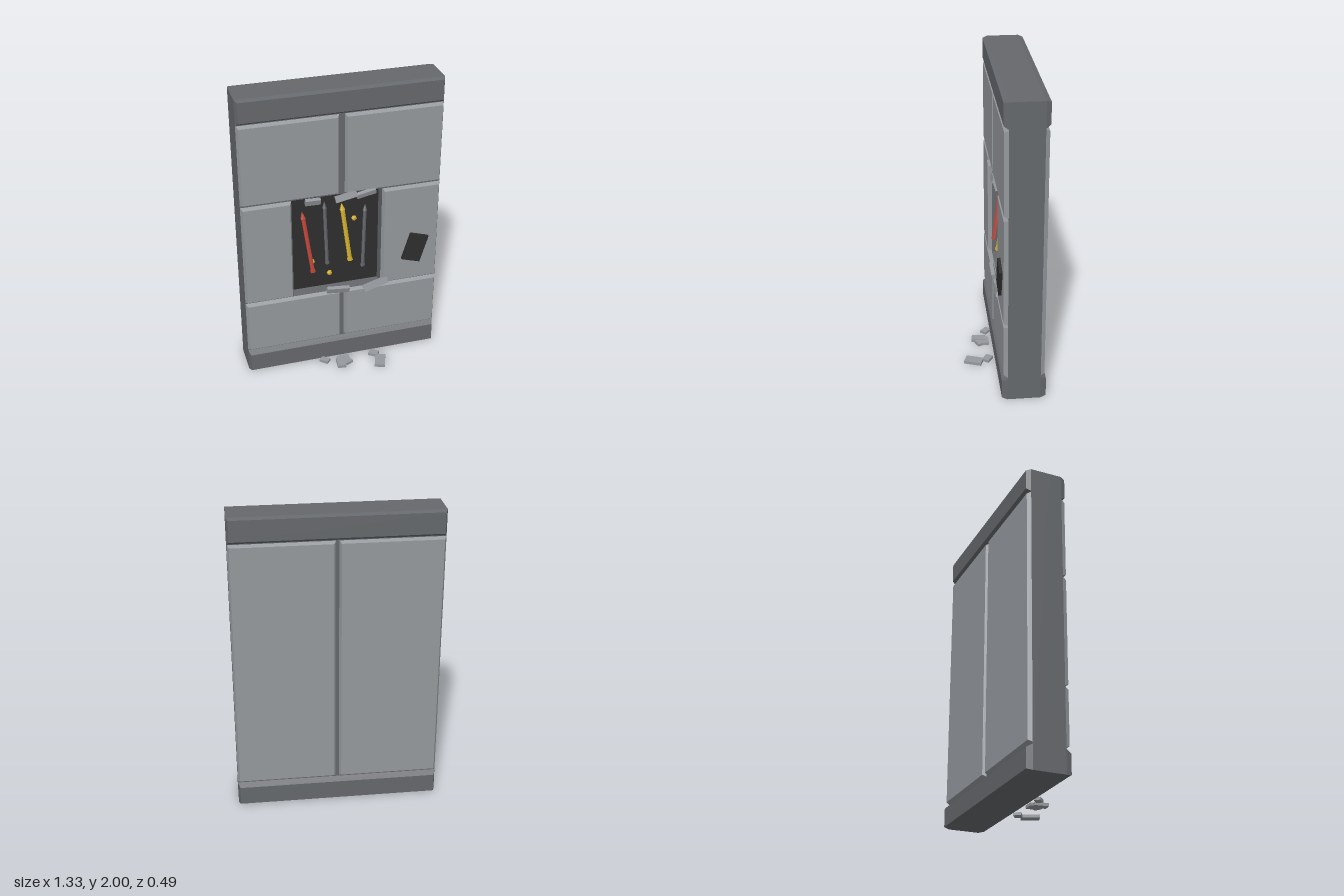
import * as THREE from 'three';

const mat = (name, color) => {
  const m = new THREE.MeshStandardMaterial({ color });
  m.name = name;
  return m;
};

export function createModel() {
  const root = new THREE.Group();
  root.name = 'brokenWall';
  const stone = mat('panelGrey', 0x95999d);
  const frame = mat('frameGrey', 0x65686c);
  const dark = mat('cavityBlack', 0x2e2e2e);
  const red = mat('red', 0xc0453a);
  const yellow = mat('yellow', 0xcfad2c);
  const cable = mat('cableGrey', 0x606267);

  const add = (name, geo, material, parent = root) => {
    const m = new THREE.Mesh(geo, material);
    m.name = name;
    parent.add(m);
    return m;
  };

  // Bevelled slab standing on a plane: full size at z0, inset at z0 + depth; back slabs face -z
  const slab = (name, material, [x0, x1, y0, y1], z0, depth, { side = 0.013, top = 0.013, bottom = 0.013, back = false } = {}) => {
    const w = x1 - x0, h = y1 - y0;
    const geo = new THREE.BoxGeometry(w, h, depth);
    const p = geo.attributes.position;
    for (let i = 0; i < p.count; i++) {
      if (p.getZ(i) < 0) continue;
      p.setX(i, p.getX(i) - Math.sign(p.getX(i)) * side);
      p.setY(i, p.getY(i) > 0 ? p.getY(i) - top : p.getY(i) + bottom);
    }
    if (back) geo.rotateY(Math.PI);
    geo.computeVertexNormals();
    add(name, geo, material).position.set((x0 + x1) / 2, (y0 + y1) / 2, z0 + (back ? -depth : depth) / 2);
  };

  // Core with a square cavity in its front
  const W = 0.665, FRONT = 0, BACK = -0.21, FLOOR = -0.08;
  const hole = [-0.335, 0.27, 0.54, 1.27];
  const rect = (path, [x0, x1, y0, y1]) =>
    path.moveTo(x0, y0).lineTo(x1, y0).lineTo(x1, y1).lineTo(x0, y1).closePath();
  const face = rect(new THREE.Shape(), [-W, W, 0, 2]);
  face.holes.push(rect(new THREE.Path(), hole));
  add('coreFront', new THREE.ExtrudeGeometry(face, { depth: FRONT - FLOOR, bevelEnabled: false }), frame).position.z = FLOOR;
  add('coreBack', new THREE.BoxGeometry(2 * W, 2, FLOOR - BACK), frame).position.set(0, 1, (FLOOR + BACK) / 2);
  add('cavityBack', new THREE.BoxGeometry(hole[1] - hole[0], hole[3] - hole[2], 0.006), dark)
    .position.set((hole[0] + hole[1]) / 2, (hole[2] + hole[3]) / 2, FLOOR + 0.003);

  // Top and bottom rails on both faces
  for (const back of [false, true]) {
    const z = back ? BACK : FRONT;
    slab('topRail', frame, [-W, W, 1.835, 2], z, 0.03, { top: 0.01, bottom: 0.02, back });
    slab('bottomRail', frame, [-W, W, 0, 0.155], z, 0.036, { top: 0.022, bottom: 0.008, back });
  }

  // Front panels
  [
    [-W, -0.018, 1.28, 1.83], [0.018, W, 1.28, 1.83],
    [-W, -0.335, 0.547, 1.268], [0.27, W, 0.547, 1.268],
    [-W, -0.012, 0.165, 0.538], [0.012, W, 0.165, 0.538],
  ].forEach((r) => slab('frontPanel', stone, r, FRONT, 0.027));

  // Back panels
  for (const r of [[-W, -0.01, 0.165, 1.83], [0.01, W, 0.165, 1.83]])
    slab('backPanel', stone, r, BACK, 0.025, { back: true });

  // Cables with pointed tips, leaning out of the cavity
  const rod = (name, material, a, b, r) => {
    const from = new THREE.Vector3(...a), to = new THREE.Vector3(...b);
    const len = from.distanceTo(to), tip = 0.05;
    const g = new THREE.Group();
    g.name = name;
    add('shaft', new THREE.CylinderGeometry(r, r, len - tip, 6).toNonIndexed(), material, g).position.y = (len - tip) / 2;
    add('tip', new THREE.ConeGeometry(r * 1.3, tip, 6).toNonIndexed(), material, g).position.y = len - tip / 2;
    add('collar', new THREE.CylinderGeometry(r * 1.3, r * 1.3, 0.015, 6).toNonIndexed(), material, g).position.y = 0.01;
    g.traverse((o) => o.isMesh && o.geometry.computeVertexNormals());
    g.position.copy(from);
    g.quaternion.setFromUnitVectors(new THREE.Vector3(0, 1, 0), to.sub(from).normalize());
    root.add(g);
  };
  rod('redCable', red, [-0.2, 0.705, 0], [-0.253, 1.145, -0.06], 0.014);
  rod('greyCable', cable, [-0.1, 0.75, -0.01], [-0.103, 1.2, -0.06], 0.012);
  rod('yellowCable', yellow, [0.056, 0.755, 0], [0.013, 1.17, -0.06], 0.015);
  rod('greyCable', cable, [0.143, 0.695, 0], [0.175, 1.14, -0.06], 0.012);

  // Small yellow sparks on the cavity back
  for (const [x, y] of [[0.1, 1.04], [-0.07, 0.64], [-0.19, 0.75]])
    add('spark', new THREE.IcosahedronGeometry(0.02, 0), yellow).position.set(x, y, -0.062);

  // Broken chunks on the cavity rim: x, y, width, height, roll, tilt
  [
    [-0.2, 1.255, 0.1, 0.04, -0.02, 0.3],
    [0.02, 1.26, 0.145, 0.04, 0.2, -0.25],
    [0.155, 1.265, 0.13, 0.033, 0.2, 0.25],
    [-0.035, 0.553, 0.155, 0.04, -0.1, 0.3],
    [0.23, 0.55, 0.175, 0.045, 0.29, -0.25],
  ].forEach(([x, y, w, h, roll, tilt]) => {
    const m = add('rimChunk', new THREE.BoxGeometry(w, h, 0.026), stone);
    m.position.set(x, y, 0.024);
    m.rotation.set(tilt, 0, roll, 'ZYX');
  });

  // Loose dark cover plate
  const cover = add('coverPlate', new THREE.BoxGeometry(0.132, 0.2, 0.03), dark);
  cover.position.set(0.498, 0.805, 0.032);
  cover.rotation.z = -0.3;

  // Rubble on the ground: x, z, width, depth, turn
  [
    [-0.143, 0.067, 0.062, 0.045, -0.75],
    [-0.012, 0.1, 0.078, 0.085, 0],
    [-0.043, 0.125, 0.058, 0.095, -0.1],
    [0.0, 0.11, 0.055, 0.075, 0.45],
    [0.205, 0.085, 0.065, 0.05, -0.6],
    [0.223, 0.18, 0.07, 0.118, -0.35],
  ].forEach(([x, z, w, d, turn], i) => {
    const h = 0.018 + 0.001 * (i % 3);
    const m = add('rubble', new THREE.BoxGeometry(w, h, d), stone);
    m.position.set(x, h / 2, z);
    m.rotation.y = turn;
  });

  return root;
}
